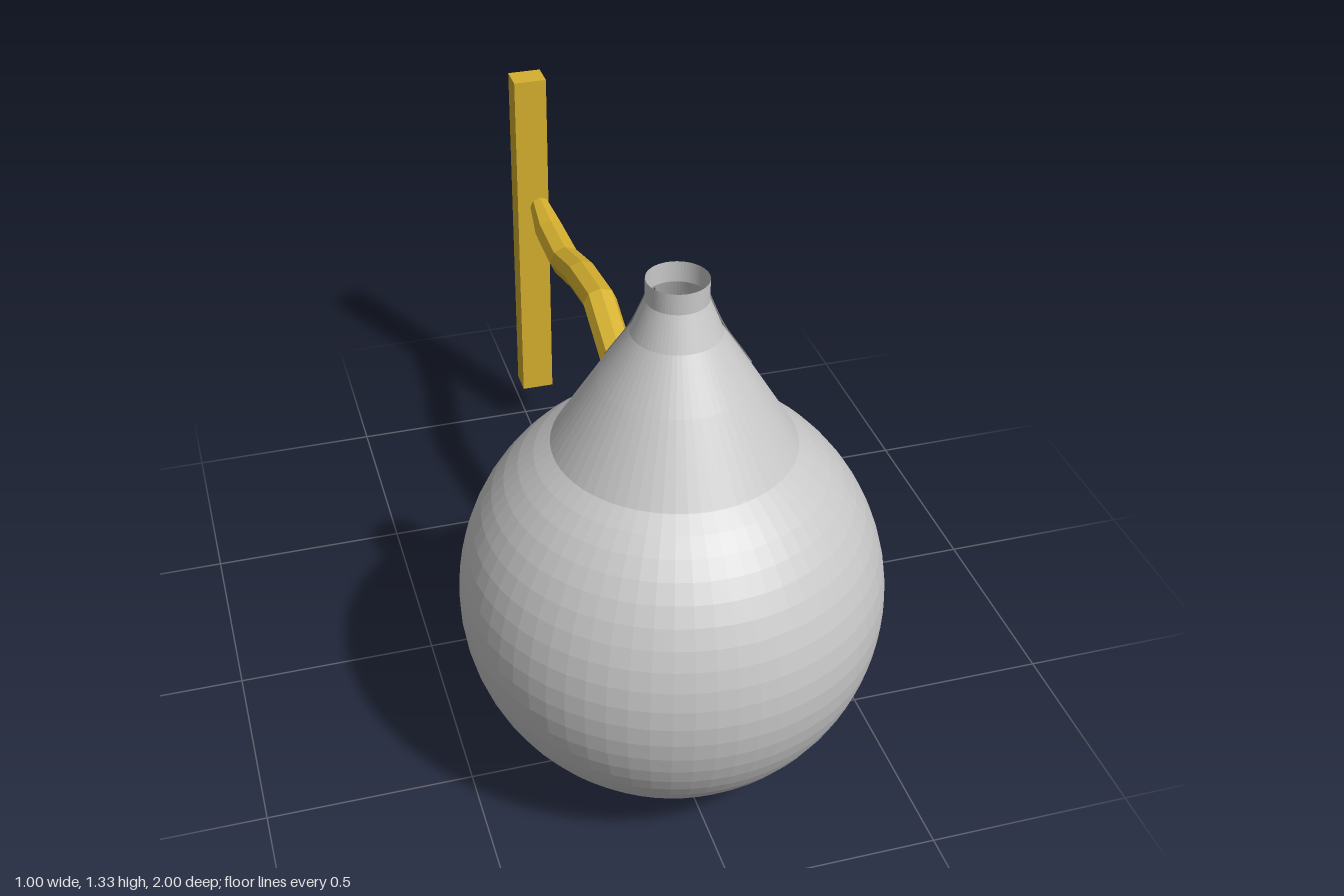
import * as THREE from 'three';

const grey = new THREE.MeshStandardMaterial({ color: 0xc8c8c8, flatShading: true, side: THREE.DoubleSide });
grey.name = 'paleGrey';
const darkGrey = new THREE.MeshStandardMaterial({ color: 0x7c7c7c, flatShading: true });
darkGrey.name = 'creaseGrey';
const gold = new THREE.MeshStandardMaterial({ color: 0xd4af2e, flatShading: true });
gold.name = 'goldYellow';

function part(name, geometry, material, x = 0, y = 0, z = 0) {
  const mesh = new THREE.Mesh(geometry, material);
  mesh.name = name;
  mesh.position.set(x, y, z);
  return mesh;
}

// Neck profile: radius, height
const neckProfile = [
  [0.278, 0.92], [0.175, 1.09], [0.102, 1.205], [0.07, 1.285], [0.07, 1.335],
].map(([r, y]) => new THREE.Vector2(r, y));

function neckRadius(y) {
  for (let i = 1; i < neckProfile.length; i++) {
    const a = neckProfile[i - 1], b = neckProfile[i];
    if (y <= b.y) return a.x + (b.x - a.x) * (y - a.y) / (b.y - a.y);
  }
  return 0.07;
}

// Thin crease lying on the neck between two angles and heights
function crease(a0, y0, a1, y1) {
  const points = [];
  for (let i = 0; i <= 4; i++) {
    const t = i / 4, a = a0 + (a1 - a0) * t, y = y0 + (y1 - y0) * t, r = neckRadius(y);
    points.push(new THREE.Vector3(Math.cos(a) * r, y, Math.sin(a) * r));
  }
  return new THREE.TubeGeometry(new THREE.CatmullRomCurve3(points), 8, 0.003, 4);
}

// Eight-sided bent arm: cylinder rings moved onto a path of height, depth, radius
function armGeometry() {
  const path = [
    [0.632, 0.018, 0.045], [0.735, -0.105, 0.045], [0.815, -0.285, 0.045],
    [0.79, -0.465, 0.045], [0.738, -0.64, 0.045], [0.738, -0.81, 0.043], [0.762, -0.935, 0.028],
  ];
  const n = path.length - 1;
  const g = new THREE.CylinderGeometry(1, 1, n, 8, n);
  const p = g.attributes.position;
  for (let k = 0; k < p.count; k++) {
    const i = Math.round(n / 2 - p.getY(k));
    const before = path[Math.max(i - 1, 0)], after = path[Math.min(i + 1, n)];
    const [y, z, r] = path[i];
    const dy = before[0] - after[0], dz = before[1] - after[1];
    const length = Math.hypot(dy, dz);
    // Ring plane is square to the path
    const v = p.getZ(k) * r * 0.92;
    p.setXYZ(k, 0.045 + p.getX(k) * r, y - v * dz / length, z + v * dy / length);
  }
  g.computeVertexNormals();
  return g;
}

export function createModel() {
  const model = new THREE.Group();
  model.name = 'bulbOnWallArm';

  // Round body and open neck
  model.add(part('bulbBody', new THREE.SphereGeometry(0.498, 64, 32), grey, 0, 0.503, 0.5));
  model.add(part('neck', new THREE.LatheGeometry(neckProfile, 64), grey, 0, 0, 0.5));

  // Small creases on the left and on the back right of the neck
  const creases = new THREE.Group();
  creases.name = 'neckCreases';
  creases.position.z = 0.5;
  const back = -2.5;
  [
    [0.12, 1.285, 0.12, 1.215], [-0.15, 1.285, -0.1, 1.215],
    [0.02, 1.285, -0.08, 1.085], [-0.05, 1.285, -0.02, 1.09],
    [back, 1.28, back + 0.05, 1.1], [back - 0.12, 1.28, back + 0.12, 1.13],
    [-2.0, 1.28, -2.02, 1.23],
  ].forEach((c, i) => creases.add(part('neckCrease' + (i + 1), crease(...c), darkGrey)));
  model.add(creases);

  // Arm and wall post
  model.add(part('arm', armGeometry(), gold));
  model.add(part('wallPost', new THREE.BoxGeometry(0.09, 1.01, 0.072), gold, 0.025, 0.645, -0.964));
  return model;
}
